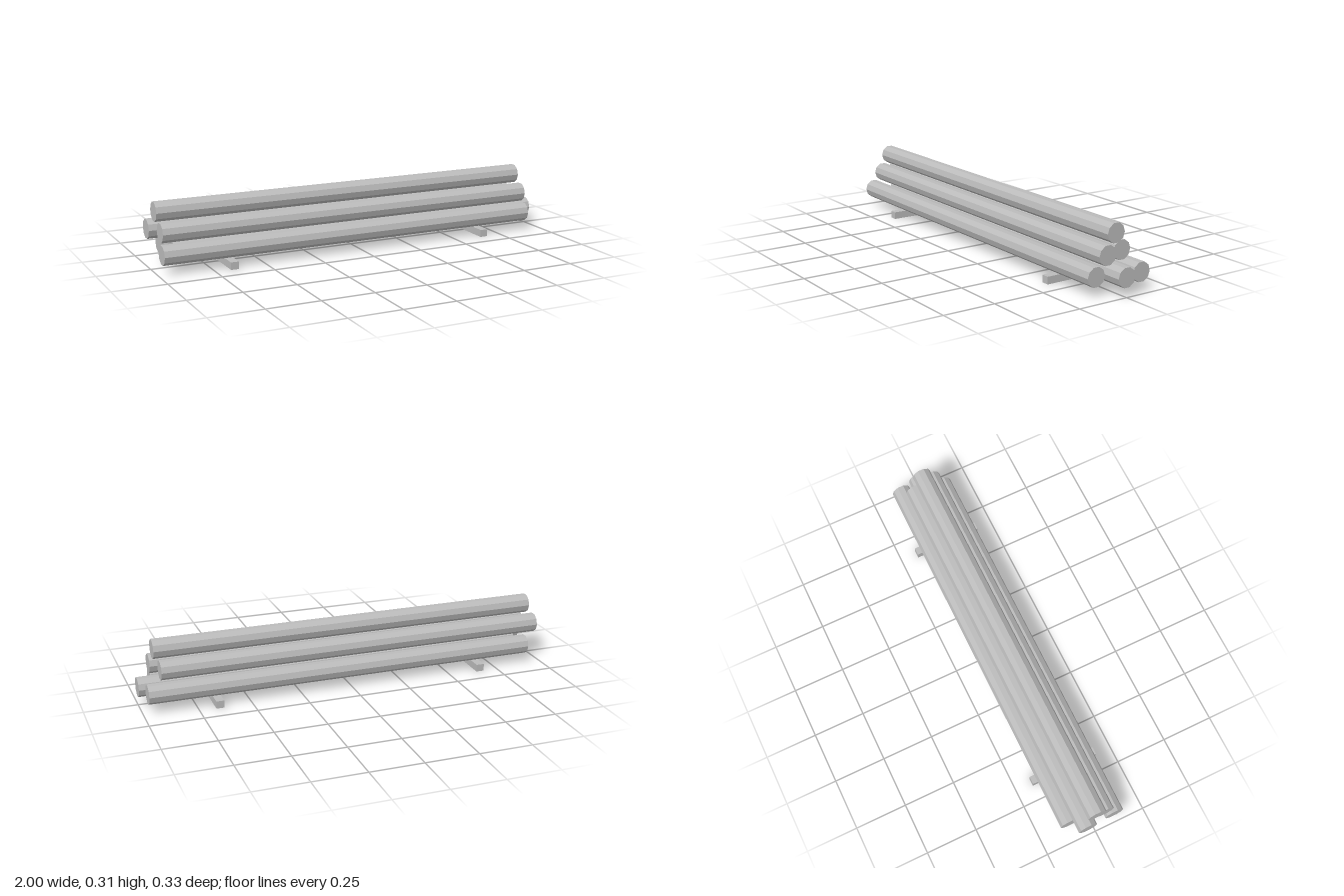
import * as THREE from 'three';

export function createModel() {
  const model = new THREE.Group();
  model.name = 'logPile';
  const grey = new THREE.MeshStandardMaterial({ color: 0xbbbbbb, flatShading: true });
  grey.name = 'plainGrey';

  // Ten-sided logs lying along x, stacked 3-2-1 and slightly staggered
  const length = 1.902, radius = 0.0463;
  const logGeometry = new THREE.CylinderGeometry(radius, radius, length, 10);
  logGeometry.rotateZ(Math.PI / 2);
  const logs = [
    // name, x centre, y, z
    ['bottomFrontLog', -0.027, 0.088, 0.103],
    ['bottomMiddleLog', 0.049, 0.088, 0],
    ['bottomBackLog', 0.022, 0.088, -0.103],
    ['middleFrontLog', -0.016, 0.177, 0.0515],
    ['middleBackLog', -0.049, 0.177, -0.0515],
    ['topLog', -0.027, 0.265, 0],
  ];
  for (const [name, x, y, z] of logs) {
    const log = new THREE.Mesh(logGeometry, grey);
    log.name = name;
    log.position.set(x, y, z);
    model.add(log);
  }

  // Two square bearers under the pile
  const bearerGeometry = new THREE.BoxGeometry(0.038, 0.035, 0.334);
  for (const [name, x] of [['leftBearer', 0.653], ['rightBearer', -0.659]]) {
    const bearer = new THREE.Mesh(bearerGeometry, grey);
    bearer.name = name;
    bearer.position.set(x, 0.0175, 0);
    model.add(bearer);
  }
  return model;
}
